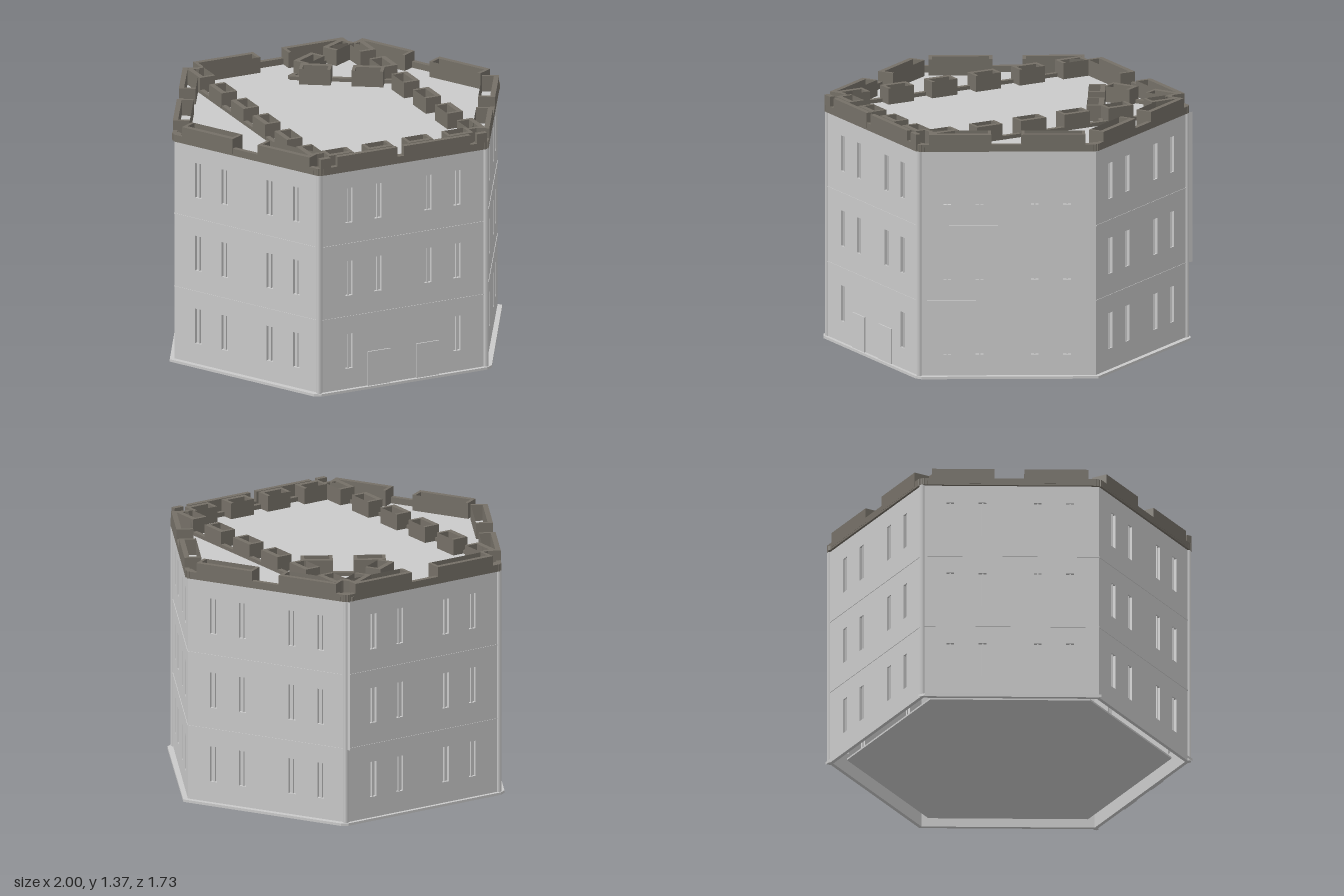
import * as THREE from 'three';

const stone = new THREE.MeshStandardMaterial({ color: 0xcacaca });
stone.name = 'pale stone';
const trim = new THREE.MeshStandardMaterial({ color: 0x757067, side: THREE.DoubleSide });
trim.name = 'brown grey stone';

// Plan corners as [x, z], running round from the front edge
const CORNERS = [[-0.5, 0.84], [0.5, 0.84], [0.97, 0], [0.5, -0.84], [-0.5, -0.84], [-0.97, 0]];
const BASE = [[-0.5, 0.86], [0.5, 0.86], [0.535, 0.84], [1, 0], [0.535, -0.84],
  [0.5, -0.86], [-0.5, -0.86], [-0.535, -0.84], [-1, 0], [-0.535, 0.84]];
const STOREYS = [0.01, 0.43, 0.85, 1.27];
const WINDOWS = [-0.325, -0.15, 0.15, 0.325];
const WALL = 0.02;
const LEDGE = 0.014;
const ROOF_Y = 1.275;

function add(parent, name, geometry, material, x = 0, y = 0, z = 0) {
  const mesh = new THREE.Mesh(geometry, material);
  mesh.name = name;
  mesh.position.set(x, y, z);
  parent.add(mesh);
  return mesh;
}

const box = (parent, name, w, h, d, material, x, y, z) =>
  add(parent, name, new THREE.BoxGeometry(w, h, d), material, x, y, z);

// Group whose local x runs from a to b, with z pointing outward
function edgeGroup(parent, name, [ax, az], [bx, bz]) {
  const group = new THREE.Group();
  group.name = name;
  group.position.set((ax + bx) / 2, 0, (az + bz) / 2);
  group.rotation.y = Math.atan2(az - bz, bx - ax);
  group.userData.length = Math.hypot(bx - ax, bz - az);
  parent.add(group);
  return group;
}

function planPoints(points, scale = 1) {
  return points.map(([x, z]) => new THREE.Vector2(x * scale, -z * scale));
}

function rectangle(Type, x0, y0, x1, y1) {
  return new Type([[x0, y0], [x1, y0], [x1, y1], [x0, y1]].map(p => new THREE.Vector2(...p)));
}

// One storey of wall with recessed slit windows
function storey(wall, level, windows) {
  const half = wall.userData.length / 2, y0 = STOREYS[level], y1 = STOREYS[level + 1];
  const shape = rectangle(THREE.Shape, -half, y0, half, y1);
  const sill = 0.13 + level * 0.42;
  for (const x of windows) {
    shape.holes.push(rectangle(THREE.Path, x - 0.021, sill, x + 0.021, sill + 0.2));
    add(wall, 'windowPane', new THREE.PlaneGeometry(0.042, 0.2), stone, x, sill + 0.1, 0.002 - WALL);
    box(wall, 'windowMullion', 0.008, 0.2, 0.012, stone, x, sill + 0.1, 0.008 - WALL);
  }
  add(wall, 'wallPanel', new THREE.ExtrudeGeometry(shape, { depth: WALL, bevelEnabled: false }), stone, 0, 0, -WALL);
  if (level) box(wall, 'floorSeam', half * 2, 0.005, 0.004, stone, 0, y0, 0.001);
}

// Low curb with tall merlons, each with inward returns closed by a thin face
function parapet(parent, name, a, b, spans, curbTop, returns = true) {
  const row = edgeGroup(parent, name, a, b);
  const length = row.userData.length;
  box(row, 'parapetCurb', length, curbTop - 1.27, 0.026, trim, 0, (curbTop + 1.27) / 2, 0);
  for (const [s, e] of spans) {
    const x = (s + e - 1) / 2 * length, w = (e - s) * length;
    box(row, 'merlon', w, 0.085, 0.028, trim, x, 1.3225, 0);
    if (!returns) continue;
    for (const side of [-1, 1]) {
      box(row, 'merlonReturn', 0.018, 0.09, 0.066, trim, x + side * (w / 2 - 0.009), 1.32, -0.045);
    }
    add(row, 'merlonInnerFace', new THREE.PlaneGeometry(w, 0.09), trim, x, 1.32, -0.078);
  }
}

// Evenly spaced merlon spans, as fractions of the row
function evenSpans(count, fill) {
  return Array.from({ length: count }, (_, i) => [(i + (1 - fill) / 2) / count, (i + (1 + fill) / 2) / count]);
}

export function createModel() {
  const model = new THREE.Group();
  model.name = 'hexagonalKeep';

  // Base ledge: a flat top ring and a thin rim
  const ledge = new THREE.Shape(planPoints(BASE));
  ledge.holes.push(new THREE.Path(planPoints(CORNERS, 0.99)));
  add(model, 'baseLedge', new THREE.ShapeGeometry(ledge), stone, 0, LEDGE, 0).rotation.x = -Math.PI / 2;
  BASE.forEach((a, i) => {
    const rim = edgeGroup(model, 'ledgeRim', a, BASE[(i + 1) % BASE.length]);
    add(rim, 'rimFace', new THREE.PlaneGeometry(rim.userData.length, LEDGE), stone, 0, LEDGE / 2, 0);
  });

  // Floor and roof slabs
  for (const [name, scale, y] of [['floor', 0.9, 0.03], ['roof', 0.99, ROOF_Y - 0.01]]) {
    const slab = new THREE.ExtrudeGeometry(new THREE.Shape(planPoints(CORNERS, scale)), { depth: 0.01, bevelEnabled: false });
    add(model, name, slab, stone, 0, y, 0).rotation.x = -Math.PI / 2;
  }

  // Walls, corner posts and outer parapets
  CORNERS.forEach((a, i) => {
    const b = CORNERS[(i + 1) % 6];
    const front = i === 0, back = i === 3;
    const wall = edgeGroup(model, front ? 'frontWall' : back ? 'backWall' : 'sideWall', a, b);
    for (let level = 0; level < 3; level++) {
      storey(wall, level, front && level === 0 ? [WINDOWS[0], WINDOWS[3]] : WINDOWS);
    }
    if (front) {
      for (const x of [-0.145, 0.145]) box(wall, 'door', 0.135, 0.197, 0.009, stone, x, 0.1115, 0.0035);
    }
    if (a[1] !== 0) {
      add(model, 'cornerPost', new THREE.CylinderGeometry(0.016, 0.016, 1.26, 6), stone, a[0], 0.64, a[1] * 0.995);
    }
    const cap = box(model, 'cornerCap', 0.04, 0.04, 0.04, trim, a[0] * 0.985, 1.29, a[1] * 0.985);
    cap.rotation.y = Math.atan2(a[0], a[1]);
    const spans = front ? [[0, 0.06], [0.1, 0.46], [0.5, 0.9], [0.94, 1]]
      : back ? [[0.05, 0.42], [0.59, 0.95]] : [[0.06, 0.41], [0.58, 0.94]];
    parapet(model, 'outerParapet', a, b, spans, 1.31, !front);
  });

  // Slim fin on the upper storeys of one back corner
  add(model, 'cornerFin', new THREE.PlaneGeometry(0.035, 0.84), stone, 0.5, 0.85, -0.857).rotation.y = Math.PI / 2;

  // Inner rows across the roof
  parapet(model, 'frontInnerRow', [-0.48, 0.805], [0.48, 0.805], evenSpans(4, 0.62), 1.3);
  parapet(model, 'rightInnerRow', [-0.515, -0.82], [-0.515, 0.82], evenSpans(6, 0.58), 1.295);
  parapet(model, 'leftInnerRow', [0.515, 0.82], [0.515, -0.82], evenSpans(6, 0.58), 1.295);

  // Angled rows meeting near the back of the roof
  parapet(model, 'angledRow', [0.48, -0.85], [0.01, -0.6], evenSpans(2, 0.6), 1.295);
  parapet(model, 'angledRow', [0.5, -0.3], [0.01, -0.6], evenSpans(2, 0.6), 1.295);

  return model;
}
